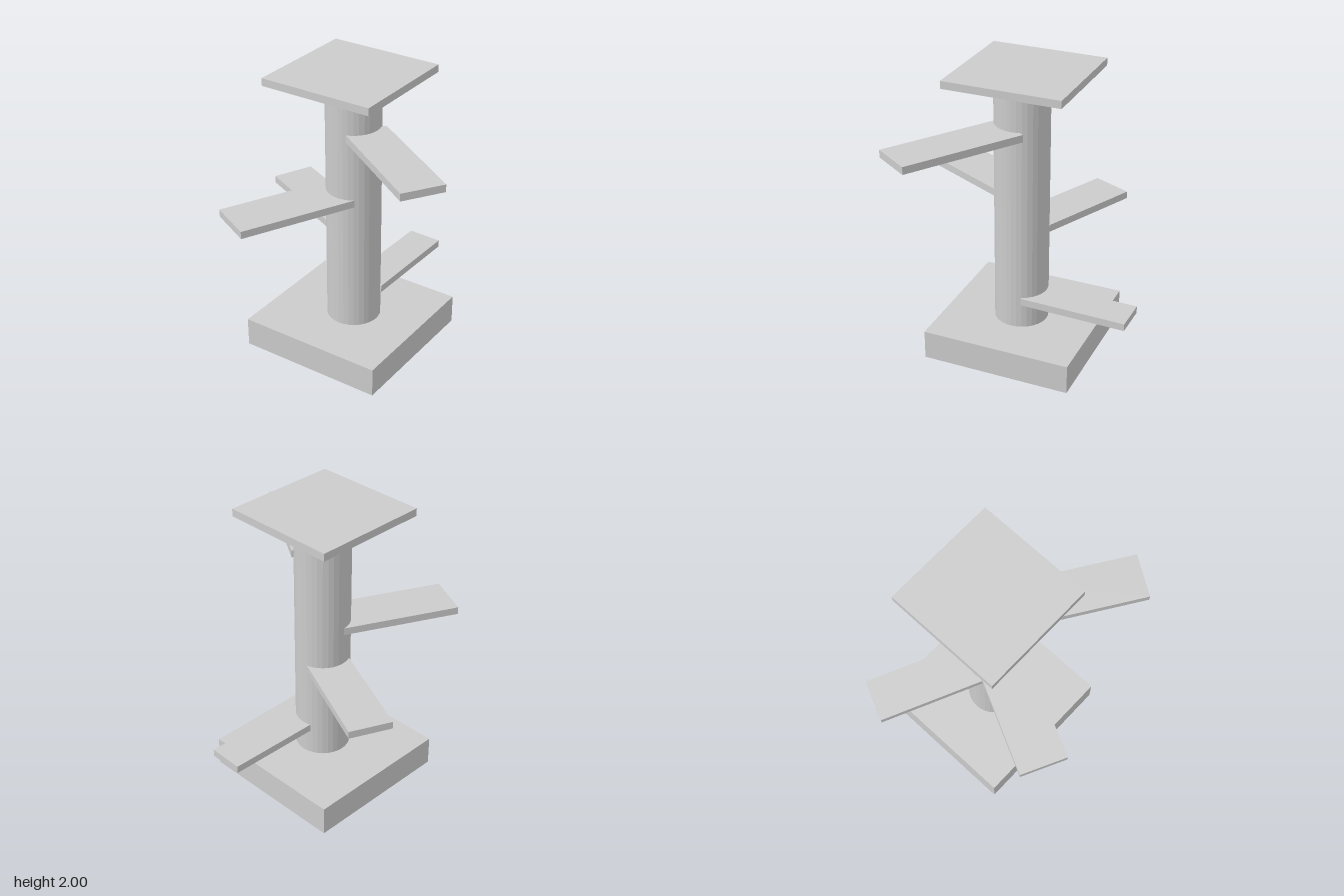
import * as THREE from 'three';

export function createModel() {
  const group = new THREE.Group();
  const material = new THREE.MeshStandardMaterial({ color: 0xcccccc, flatShading: true });

  function add(name, geometry, x, y, z) {
    const mesh = new THREE.Mesh(geometry, material);
    mesh.name = name;
    mesh.position.set(x, y, z);
    group.add(mesh);
    return mesh;
  }

  // Heavy base, round post and top platform
  add('base', new THREE.BoxGeometry(1.035, 0.205, 1.04), -0.062, 0.1025, -0.043);
  add('post', new THREE.CylinderGeometry(0.185, 0.185, 1.75, 32), -0.036, 1.08, -0.031);
  add('topPlatform', new THREE.BoxGeometry(0.797, 0.052, 0.805), -0.062, 1.974, -0.042);

  // Steps spiral up the post; each is given by the two corners of its outer end,
  // ordered so that the step runs inward to the left of a -> b
  const steps = [
    { name: 'lowStep', y: 0.41, a: [0.165, -0.844], b: [-0.077, -0.85], length: 0.745 },
    { name: 'lowerMiddleStep', y: 0.89, a: [-0.754, -0.527], b: [-0.876, -0.262], length: 0.75 },
    { name: 'upperMiddleStep', y: 1.16, a: [-0.576, 0.7], b: [-0.286, 0.843], length: 0.825 },
    { name: 'highStep', y: 1.625, a: [0.712, 0.595], b: [0.873, 0.349], length: 0.855 },
  ];
  for (const { name, y, a, b, length } of steps) {
    const dx = b[0] - a[0], dz = b[1] - a[1];
    const width = Math.hypot(dx, dz);
    const inX = dz / width, inZ = -dx / width; // unit vector towards the post
    const step = add(name, new THREE.BoxGeometry(width, 0.051, length),
      (a[0] + b[0]) / 2 + inX * length / 2, y, (a[1] + b[1]) / 2 + inZ * length / 2);
    step.rotation.y = Math.atan2(inX, inZ);
  }
  return group;
}
